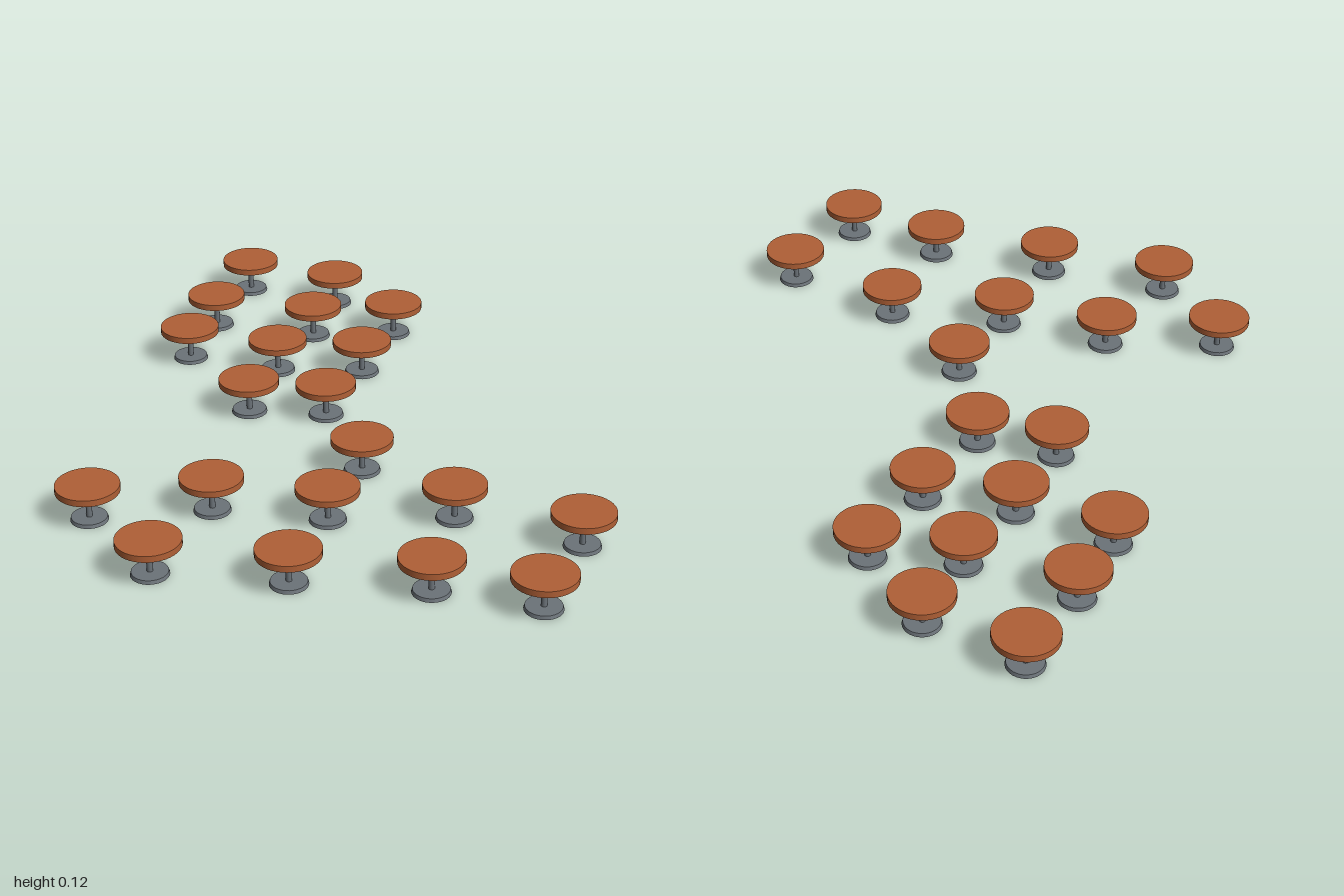
import * as THREE from 'three';

// Table centres on the floor: [x, z]
const SPOTS = [
  [-0.758, -0.905], [-0.441, -0.9], [-0.174, -0.739], [-0.425, -0.636],
  [-0.764, -0.606], [-0.753, -0.35], [-0.447, -0.361], [-0.182, -0.437],
  [-0.431, -0.068], [-0.193, -0.122], [0.028, 0.169], [0.372, 0.344],
  [0.76, 0.372], [0.028, 0.472], [-0.31, 0.529], [-0.628, 0.69],
  [0.424, 0.732], [0.737, 0.713], [0.04, 0.821], [-0.343, 0.9],
];

export function createModel() {
  const wood = new THREE.MeshStandardMaterial({ color: 0xb06036 });
  wood.name = 'wood';
  const metal = new THREE.MeshStandardMaterial({ color: 0x6c7379 });
  metal.name = 'metal';

  // Shared geometries: [name, geometry, material, centre height]
  const parts = [
    ['tableTop', new THREE.CylinderGeometry(0.095, 0.095, 0.02, 40), wood, 0.107],
    ['pole', new THREE.CylinderGeometry(0.009, 0.009, 0.09, 16, 1, true), metal, 0.054],
    ['foot', new THREE.CylinderGeometry(0.053, 0.056, 0.011, 32), metal, 0.0055],
  ];

  const model = new THREE.Group();
  model.name = 'roundTables';
  SPOTS.forEach(([x, z], i) => {
    const table = new THREE.Group();
    table.name = `table${i + 1}`;
    for (const [name, geometry, material, y] of parts) {
      const mesh = new THREE.Mesh(geometry, material);
      mesh.name = name;
      mesh.position.y = y;
      table.add(mesh);
    }
    table.position.set(x, 0, z);
    model.add(table);
  });
  return model;
}
